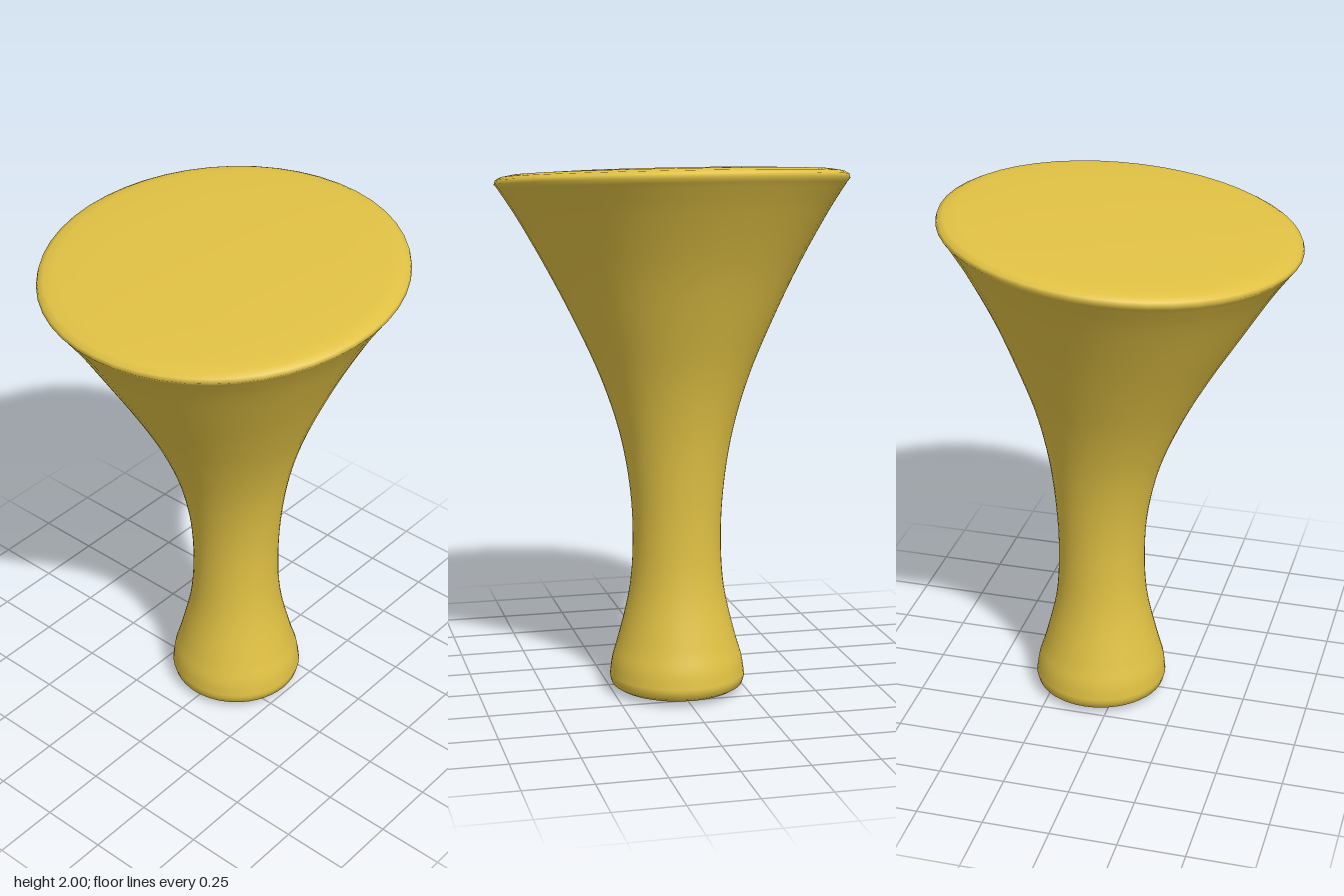
import * as THREE from 'three';

const SIDES = 48;

// Body rings from foot to rim: [centre x, height, radius]
const BODY = [
  [0.08, 0.055, 0.256], [0.078, 0.12, 0.247], [0.076, 0.2, 0.224], [0.075, 0.4, 0.178],
  [0.075, 0.6, 0.166], [0.072, 0.8, 0.178], [0.06, 1.0, 0.214], [0.042, 1.2, 0.278],
  [0.025, 1.4, 0.366], [0.008, 1.6, 0.466], [0.002, 1.8, 0.578], [0, 1.9, 0.642],
];
// Rounded edges and slightly domed end caps
const FOOT = [[0.08, 0.0, 0.1], [0.08, 0.01, 0.2], [0.08, 0.018, 0.23], [0.08, 0.03, 0.249]];
const RIM = [
  [0, 1.915, 0.654], [0, 1.93, 0.65], [0, 1.941, 0.63], [0, 1.949, 0.585],
  [0, 1.956, 0.42], [0, 1.961, 0.2],
];

// Rings lean progressively, so the top slopes up towards +x
const lean = (y) => 0.0443 * y;

function loft(rings) {
  const pos = [], index = [];
  for (const [cx, y, r] of rings) {
    for (let i = 0; i < SIDES; i++) {
      const a = (i / SIDES) * Math.PI * 2;
      const dx = r * Math.cos(a);
      pos.push(cx + dx, y + lean(y) * dx, r * Math.sin(a));
    }
  }
  const first = rings[0], last = rings[rings.length - 1];
  const bottom = pos.length / 3, top = bottom + 1;
  pos.push(first[0], first[1], 0, last[0], last[1], 0);
  const end = (rings.length - 1) * SIDES;
  for (let i = 0; i < SIDES; i++) {
    const j = (i + 1) % SIDES;
    for (let k = 0; k < end; k += SIDES) {
      const a = k + i, b = k + j, c = a + SIDES, d = b + SIDES;
      index.push(a, c, b, b, c, d);
    }
    index.push(bottom, i, j, top, end + j, end + i);
  }
  const geo = new THREE.BufferGeometry();
  geo.setAttribute('position', new THREE.Float32BufferAttribute(pos, 3));
  geo.setIndex(index);
  geo.computeVertexNormals();
  return geo;
}

export function createModel() {
  const group = new THREE.Group();
  group.name = 'flaredPedestal';
  const ochre = new THREE.MeshStandardMaterial({ color: 0xe0c144 });
  ochre.name = 'ochre';

  // Smooth flowing stem between the foot and the flared top
  const curve = new THREE.CatmullRomCurve3(BODY.map((p) => new THREE.Vector3(...p)));
  const body = curve.getPoints(55).map((p) => [p.x, p.y, p.z]);

  const pedestal = new THREE.Mesh(loft([...FOOT, ...body, ...RIM]), ochre);
  pedestal.name = 'pedestal';
  group.add(pedestal);
  return group;
}
